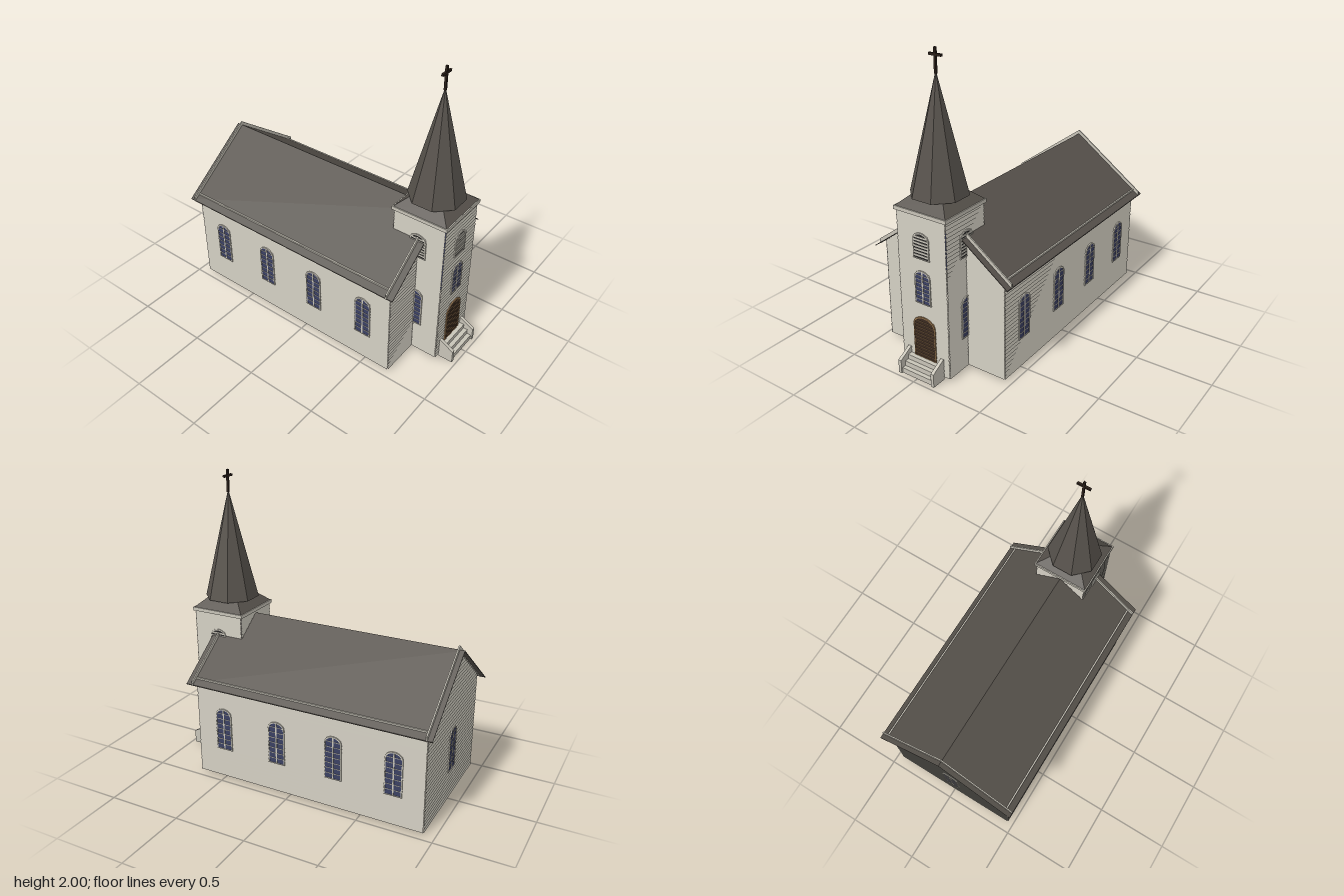
import * as THREE from 'three';

const mat = (name, color, side = THREE.FrontSide) => {
  const m = new THREE.MeshStandardMaterial({ color, side });
  m.name = name;
  return m;
};

export function createModel() {
  const siding = mat('siding', 0xc8c4b8, THREE.DoubleSide);
  const roofing = mat('roofing', 0x57524c, THREE.DoubleSide);
  const glass = mat('glass', 0x3b4063);
  const wood = mat('doorWood', 0x3a2a20);
  const woodTrim = mat('doorTrim', 0x96754f);
  const iron = mat('darkIron', 0x2a1f18);
  const shade = mat('louverShade', 0x2b2a2a);

  const root = new THREE.Group();
  root.name = 'church';
  const add = (parent, name, geo, material, x = 0, y = 0, z = 0) => {
    const m = new THREE.Mesh(geo, material);
    m.name = name;
    m.position.set(x, y, z);
    parent.add(m);
    return m;
  };
  const box = (w, h, d) => new THREE.BoxGeometry(w, h, d);
  const extrude = (shape, depth) =>
    new THREE.ExtrudeGeometry(shape, { depth, bevelEnabled: false, curveSegments: 8 });
  const poly = (pts) => new THREE.Shape(pts.map(([x, y]) => new THREE.Vector2(x, y)));
  const wallGroup = (name, x, z, angle) => {
    const g = new THREE.Group();
    g.name = name;
    g.position.set(x, 0, z);
    g.rotation.y = angle;
    root.add(g);
    return g;
  };

  // Lapped boards between left(y) and right(y), facing local +z
  function boards(parent, name, left, right, y0, y1) {
    const rows = Math.round((y1 - y0) / 0.025), lap = 0.005, p = [];
    const quad = (a, b, c, d) => p.push(...a, ...b, ...c, ...a, ...c, ...d);
    for (let i = 0; i < rows; i++) {
      const a = y0 + ((y1 - y0) * i) / rows, b = y0 + ((y1 - y0) * (i + 1)) / rows;
      quad([left(a), a, lap], [right(a), a, lap], [right(b), b, 0], [left(b), b, 0]);
      quad([left(a), a, 0], [right(a), a, 0], [right(a), a, lap], [left(a), a, lap]);
    }
    const g = new THREE.BufferGeometry();
    g.setAttribute('position', new THREE.Float32BufferAttribute(p, 3));
    g.computeVertexNormals();
    add(parent, name, g, siding);
  }

  // Arched outline standing on y = 0
  function arch(w, h, rise, C = THREE.Shape) {
    const s = new C();
    s.moveTo(-w, 0);
    s.lineTo(w, 0);
    s.lineTo(w, h - rise);
    s.bezierCurveTo(w, h - rise * 0.35, w * 0.5, h, 0, h);
    s.bezierCurveTo(-w * 0.5, h, -w, h - rise * 0.35, -w, h - rise);
    s.lineTo(-w, 0);
    return s;
  }

  // Arched opening with panel, frame and cross bars
  function opening(parent, name, x, y, w, h, kind) {
    const g = new THREE.Group();
    g.name = name;
    g.position.set(x, y, 0);
    parent.add(g);
    const rise = kind === 'door' ? 0.06 : 0.045;
    const panel = { window: glass, louver: shade, door: wood }[kind];
    const bar = kind === 'door' ? woodTrim : siding;
    add(g, 'panel', extrude(arch(w, h, rise), 0.012), panel, 0, 0, -0.005);
    const ring = arch(w + 0.005, h + 0.005, rise);
    ring.holes.push(arch(w - 0.002, h - 0.003, rise, THREE.Path));
    add(g, 'frame', extrude(ring, 0.014), bar, 0, 0, -0.004);
    add(g, 'sill', box(w * 2 + 0.012, 0.006, 0.014), bar, 0, 0, 0.003);
    const n = kind === 'louver' ? 7 : kind === 'door' ? 11 : 7;
    const t = kind === 'louver' ? 0.011 : kind === 'door' ? 0.003 : 0.004;
    for (let i = 1; i <= n; i++) {
      const by = ((h - rise * 0.3) * i) / (n + 0.5);
      const over = Math.max(0, by - (h - rise)) / rise;
      add(g, 'crossBar', box(2 * w * Math.sqrt(1 - over * over) - 0.004, t, 0.003), bar, 0, by, 0.008);
    }
    if (kind === 'window') add(g, 'centreBar', box(0.009, h - 0.006, 0.003), bar, 0, h / 2, 0.008);
  }

  // Nave walls
  const base = 0.02, slope = 0.735, ridge = 1.045, half = 0.456;
  const gable = (y) => Math.min(half, (ridge - 0.005 - y) / slope);
  for (const s of [1, -1]) {
    const g = wallGroup(s > 0 ? 'leftNaveWall' : 'rightNaveWall', s * half, -0.12, (s * Math.PI) / 2);
    boards(g, 'boards', () => -0.807, () => 0.807, base, 0.705);
    for (const z of [0.485, 0.085, -0.32, -0.725]) opening(g, 'naveWindow', -s * (z + 0.12), 0.225, 0.054, 0.29, 'window');
  }
  const rear = wallGroup('rearWall', 0, -0.927, Math.PI);
  boards(rear, 'boards', (y) => -gable(y), gable, base, 1.038);
  opening(rear, 'rearWindow', 0, 0.225, 0.054, 0.29, 'window');
  const front = wallGroup('frontWall', 0, 0.686, 0);
  boards(front, 'leftBoards', () => 0.182, gable, base, 0.9);
  boards(front, 'rightBoards', (y) => -gable(y), () => -0.182, base, 0.9);

  // Nave roof, gable boards and eave strips
  const eave = 0.508, eaveY = ridge - slope * eave;
  const slab = (lo, hi) => poly([[-eave, eaveY + lo], [0, ridge + lo], [eave, eaveY + lo],
    [eave, eaveY + hi], [0, ridge + hi], [-eave, eaveY + hi]]);
  add(root, 'naveRoof', extrude(slab(-0.006, 0), 1.707), roofing, 0, 0, -0.972);
  for (const z of [-0.94, 0.684]) add(root, 'gableBoard', extrude(slab(-0.008, 0.027), 0.009), siding, 0, 0, z);
  for (const s of [1, -1])
    add(root, 'eaveStrip', box(0.01, 0.014, 1.62), siding, s * 0.464, 0.703, -0.12);

  // Tower walls
  const tz = 0.69, th = 0.181, top = 1.065;
  const tf = wallGroup('towerFront', 0, tz + th, 0);
  boards(tf, 'boards', () => -th, () => th, base, top);
  opening(tf, 'door', 0, 0.1, 0.079, 0.283, 'door');
  opening(tf, 'towerWindow', 0, 0.485, 0.054, 0.215, 'window');
  opening(tf, 'louver', 0, 0.785, 0.054, 0.163, 'louver');
  const tb = wallGroup('towerBack', 0, tz - th, Math.PI);
  boards(tb, 'boards', () => -th, () => th, 0.89, top);
  for (const s of [1, -1]) {
    const g = wallGroup(s > 0 ? 'towerLeft' : 'towerRight', s * th, tz, (s * Math.PI) / 2);
    boards(g, 'lowerBoards', () => (s > 0 ? -th : 0), () => (s > 0 ? 0 : th), base, 0.89);
    boards(g, 'upperBoards', () => -th, () => th, 0.89, top);
    opening(g, 'towerSideWindow', 0, 0.24, 0.054, 0.272, 'window');
    opening(g, 'sideLouver', 0, 0.785, 0.054, 0.163, 'louver');
  }

  // Cornice, flared skirt, spire and cross
  add(root, 'cornice', box(0.388, 0.024, 0.388), siding, 0, 1.071, tz);
  const skirt = new THREE.CylinderGeometry(0.12 * Math.SQRT2, 0.187 * Math.SQRT2, 0.06, 4).toNonIndexed();
  skirt.rotateY(Math.PI / 4);
  skirt.computeVertexNormals();
  add(root, 'spireSkirt', skirt, roofing, 0, 1.113, tz);
  const spire = new THREE.ConeGeometry(0.168 / Math.cos(Math.PI / 8), 0.73, 8).toNonIndexed();
  spire.rotateY(Math.PI / 8);
  spire.computeVertexNormals();
  add(root, 'spire', spire, roofing, 0, 1.507, tz);
  add(root, 'crossPost', box(0.014, 0.15, 0.014), iron, 0, 1.925, tz);
  add(root, 'crossArm', box(0.09, 0.015, 0.014), iron, 0, 1.958, tz);

  // Entrance steps with sloped side walls
  [[0.035, 0.965], [0.068, 0.937], [0.1, 0.908]].forEach(([h, z]) =>
    add(root, 'step', box(0.24, h, z - 0.872), siding, 0, h / 2, (z + 0.872) / 2));
  for (const s of [1, -1]) {
    const cheek = extrude(poly([[-0.975, 0], [-0.872, 0], [-0.872, 0.145], [-0.885, 0.14], [-0.975, 0.09]]), 0.022);
    cheek.rotateY(Math.PI / 2);
    add(root, 'stepSideWall', cheek, siding, s * 0.128 - 0.011, 0, 0);
  }
  return root;
}
